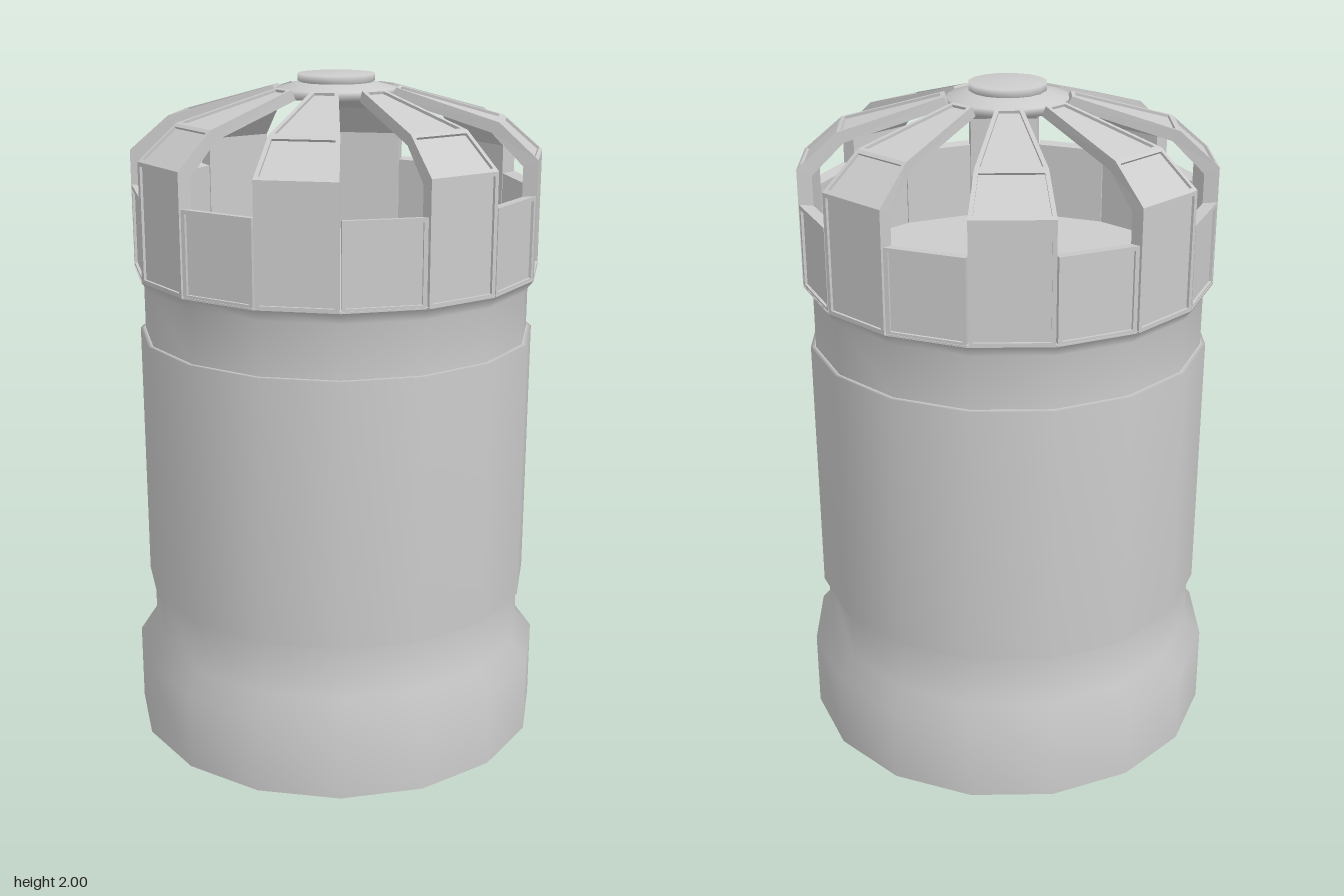
import * as THREE from 'three';

const SIDES = 16;
const material = new THREE.MeshStandardMaterial({ color: 0xcccccc, side: THREE.DoubleSide });
const v = (x, y, z) => new THREE.Vector3(x, y, z);

// Sixteen-sided turned part; profile radii are measured to the flats
function turned(name, profile) {
  const k = 1 / Math.cos(Math.PI / SIDES);
  const points = profile.map(([r, y]) => new THREE.Vector2(r * k, y));
  const mesh = new THREE.Mesh(new THREE.LatheGeometry(points, SIDES, Math.PI / SIDES), material);
  mesh.name = name;
  return mesh;
}

// Plates facing +z, one between each pair of stations [half width, y, z],
// each with a thin frame around a shallow recess
function framedStrip(outer, inner, border = 0.012, depth = 0.008) {
  const pos = [];
  const quad = (a, b, c, d) => [a, b, c, a, c, d].forEach(p => pos.push(p.x, p.y, p.z));
  const corners = (s, t) => [v(-s[0], s[1], s[2]), v(s[0], s[1], s[2]), v(t[0], t[1], t[2]), v(-t[0], t[1], t[2])];
  const last = outer.length - 2;
  for (let i = 0; i <= last; i++) {
    const o = corners(outer[i], outer[i + 1]);
    const n = corners(inner[i], inner[i + 1]);
    const normal = o[1].clone().sub(o[0]).cross(o[3].clone().sub(o[0])).normalize();
    const rim = o.map((p, j) => {
      const next = o[(j + 1) % 4].clone().sub(p).normalize();
      const prev = o[(j + 3) % 4].clone().sub(p).normalize();
      return p.clone().addScaledVector(next.add(prev), border);
    });
    const sunk = rim.map(p => p.clone().addScaledVector(normal, -depth));
    for (let j = 0; j < 4; j++) {
      const m = (j + 1) % 4;
      quad(o[j], o[m], rim[m], rim[j]);
      quad(rim[j], rim[m], sunk[m], sunk[j]);
      // Edge walls, skipping the joints between plates
      if ((j === 0 && i > 0) || (j === 2 && i < last)) continue;
      quad(o[m], o[j], n[j], n[m]);
    }
    quad(...sunk);
    quad(n[1], n[0], n[3], n[2]);
  }
  const geometry = new THREE.BufferGeometry();
  geometry.setAttribute('position', new THREE.Float32BufferAttribute(pos, 3));
  geometry.computeVertexNormals();
  return geometry;
}

export function createModel() {
  const model = new THREE.Group();
  model.name = 'cagedCanister';

  // Hollow body, open at the bottom
  model.add(
    turned('base', [[0.618, 0], [0.618, 0.24], [0.567, 0.29], [0.567, 0.455]]),
    turned('bottomLip', [[0.565, 0], [0.618, 0]]),
    turned('baseLining', [[0.56, 0.455], [0.56, 0.02], [0.565, 0]]),
    turned('barrel', [[0.567, 0.455], [0.582, 0.455], [0.582, 1.245], [0.567, 1.245]]),
    turned('collar', [[0.567, 1.245], [0.567, 1.4], [0.594, 1.435]]),
    turned('crownFloor', [[0.594, 1.44], [0, 1.44]])
  );

  // Crown: low panels alternate with tall panels that bend into ribs
  const lowPanel = framedStrip(
    [[0.116, 1.435, 0.592], [0.116, 1.68, 0.592]],
    [[0.109, 1.435, 0.552], [0.109, 1.675, 0.552]]
  );
  const rib = framedStrip(
    [[0.114, 1.435, 0.594], [0.114, 1.78, 0.594], [0.096, 1.88, 0.48], [0.038, 1.965, 0.18]],
    [[0.108, 1.435, 0.552], [0.108, 1.76, 0.552], [0.092, 1.85, 0.46], [0.036, 1.935, 0.165]]
  );
  const crown = new THREE.Group();
  crown.name = 'crown';
  for (let i = 0; i < SIDES; i++) {
    const tall = i % 2 === 0;
    const panel = new THREE.Mesh(tall ? rib : lowPanel, material);
    panel.name = tall ? 'rib' : 'lowPanel';
    panel.rotation.y = (i * 2 * Math.PI) / SIDES;
    crown.add(panel);
  }
  model.add(crown);

  // Hub where the ribs meet, with its round button
  model.add(
    turned('hub', [[0, 1.935], [0.165, 1.935], [0.172, 1.96], [0.1, 1.978]]),
    turned('hubButton', [[0.1, 1.972], [0.11, 1.98], [0.11, 2], [0, 2]])
  );
  return model;
}
